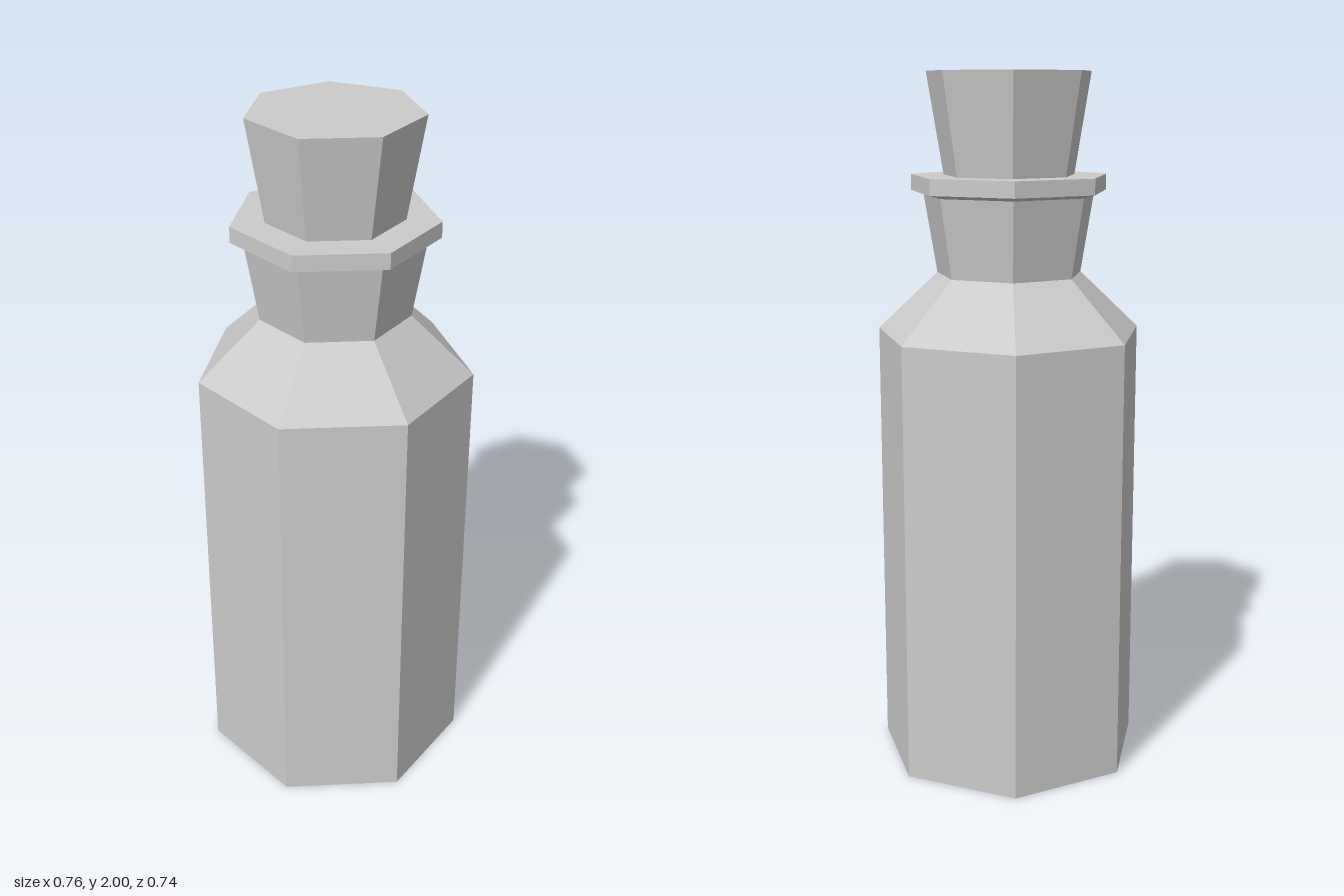
import * as THREE from 'three';

const SIDES = 7;
const material = new THREE.MeshStandardMaterial({ color: 0xcccccc, flatShading: true });

// Seven-sided faceted solid from [radius, height] pairs, bottom to top, one corner pointing back
function faceted(name, profile) {
  const points = profile.map(([r, y]) => new THREE.Vector2(r, y));
  const geometry = new THREE.LatheGeometry(points, SIDES, Math.PI).toNonIndexed();
  geometry.computeVertexNormals();
  const mesh = new THREE.Mesh(geometry, material);
  mesh.name = name;
  return mesh;
}

export function createModel() {
  const bottle = new THREE.Group();
  bottle.name = 'bottle';

  // Straight body, sloping shoulder, flared neck and lip
  const glass = faceted('bottleBody', [
    [0, 0], [0.389, 0], [0.389, 1.27],
    [0.212, 1.437],
    [0.25, 1.66],
    [0.286, 1.67], [0.286, 1.715], [0, 1.715],
  ]);

  // Tapered stopper standing in the lip
  const stopper = faceted('stopper', [
    [0, 1.71], [0.19, 1.71], [0.239, 2], [0, 2],
  ]);

  bottle.add(glass, stopper);
  // Centre the seven-sided outline front to back
  bottle.position.z = 0.019;

  const model = new THREE.Group();
  model.name = 'corkedBottle';
  model.add(bottle);
  return model;
}
